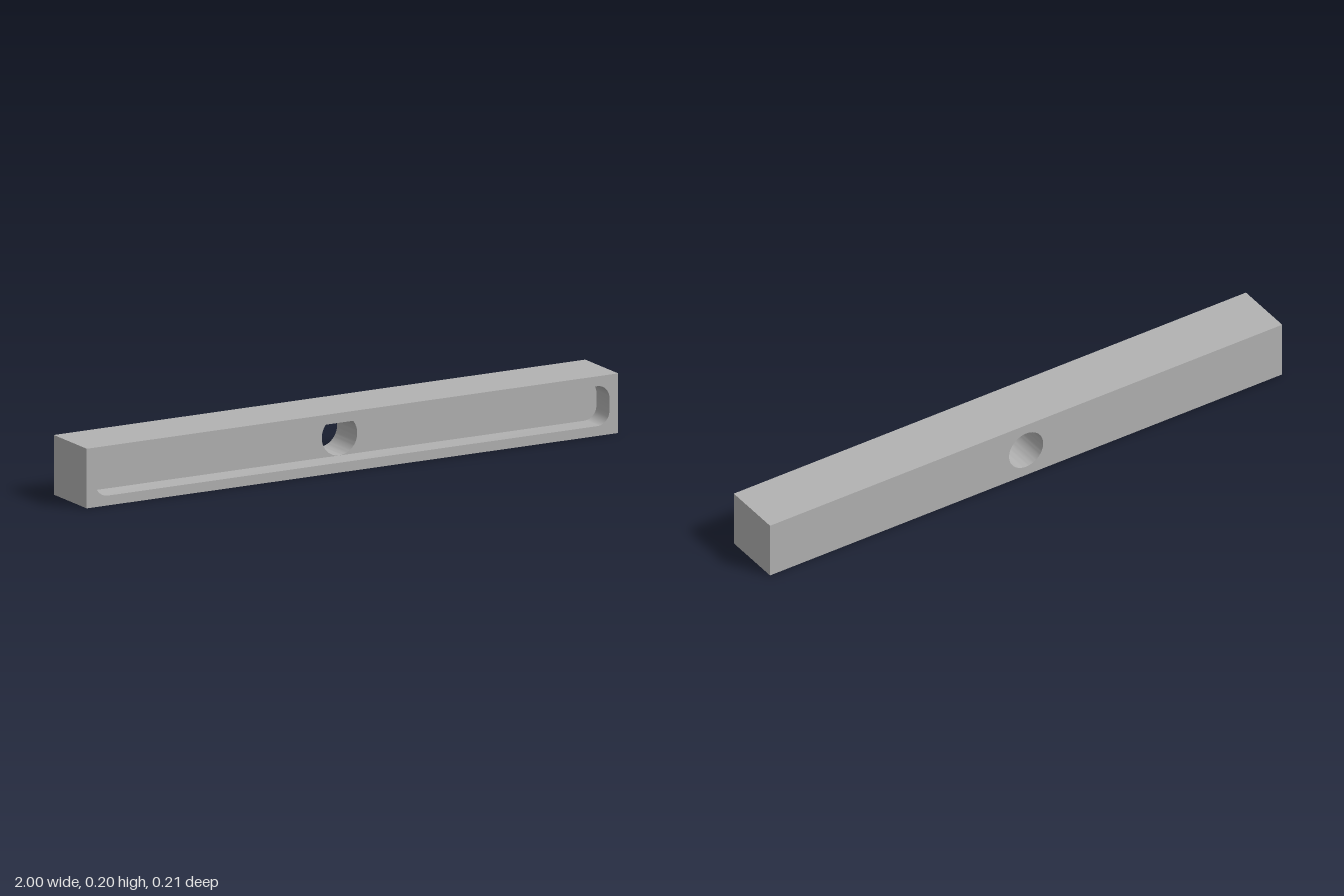
import * as THREE from 'three';
import { toCreasedNormals } from 'three/addons/utils/BufferGeometryUtils.js';

const HALF_DEPTH = 0.1065;
const FLOOR_Z = HALF_DEPTH - 0.084;

// Counter-clockwise rounded rectangle centred on the origin
function roundedRect(hw, hh, r, steps = 10) {
  const pts = [];
  [[1, 1], [-1, 1], [-1, -1], [1, -1]].forEach(([sx, sy], corner) => {
    for (let i = 0; i <= steps; i++) {
      const a = (corner + i / steps) * Math.PI / 2;
      pts.push(new THREE.Vector2(sx * (hw - r) + r * Math.cos(a), sy * (hh - r) + r * Math.sin(a)));
    }
  });
  return pts;
}

function circle(r, n = 64) {
  return Array.from({ length: n }, (_, i) => {
    const a = i / n * Math.PI * 2;
    return new THREE.Vector2(r * Math.cos(a), r * Math.sin(a));
  });
}

// Flat face looking along +z, with an optional opening
function face(outline, opening, z) {
  const shape = new THREE.Shape(outline);
  if (opening) shape.holes.push(new THREE.Path(opening));
  return new THREE.ShapeGeometry(shape).translate(0, 0, z);
}

// Wall swept along z; inward walls face the axis
function wall(outline, z0, z1, inward) {
  const loop = inward ? [...outline].reverse() : outline;
  const pos = [];
  loop.forEach((a, i) => {
    const b = loop[(i + 1) % loop.length];
    pos.push(a.x, a.y, z0, b.x, b.y, z0, b.x, b.y, z1);
    pos.push(a.x, a.y, z0, b.x, b.y, z1, a.x, a.y, z1);
  });
  const geo = new THREE.BufferGeometry();
  geo.setAttribute('position', new THREE.Float32BufferAttribute(pos, 3));
  geo.computeVertexNormals();
  return toCreasedNormals(geo, 0.6);
}

export function createModel() {
  const group = new THREE.Group();
  group.name = 'slottedBar';
  const grey = new THREE.MeshStandardMaterial({ color: 0xb2b2b2 });
  grey.name = 'grey';

  const add = (name, geo) => {
    const mesh = new THREE.Mesh(geo, grey);
    mesh.name = name;
    mesh.position.y = 0.1;
    group.add(mesh);
  };

  const bar = [[-1, -0.1], [1, -0.1], [1, 0.1], [-1, 0.1]].map(([x, y]) => new THREE.Vector2(x, y));
  const pocket = roundedRect(0.967, 0.067, 0.046);
  const bore = circle(0.0667);

  // Outer block
  add('barSides', wall(bar, -HALF_DEPTH, HALF_DEPTH, false));
  add('frontRim', face(bar, pocket, HALF_DEPTH));
  add('backFace', face(bar, bore, HALF_DEPTH).rotateY(Math.PI));

  // Recessed pocket in the front
  add('pocketWalls', wall(pocket, FLOOR_Z, HALF_DEPTH, true));
  add('pocketFloor', face(pocket, bore, FLOOR_Z));

  // Round hole from pocket floor to the back
  add('boreWall', wall(bore, -HALF_DEPTH, FLOOR_Z, true));

  return group;
}
